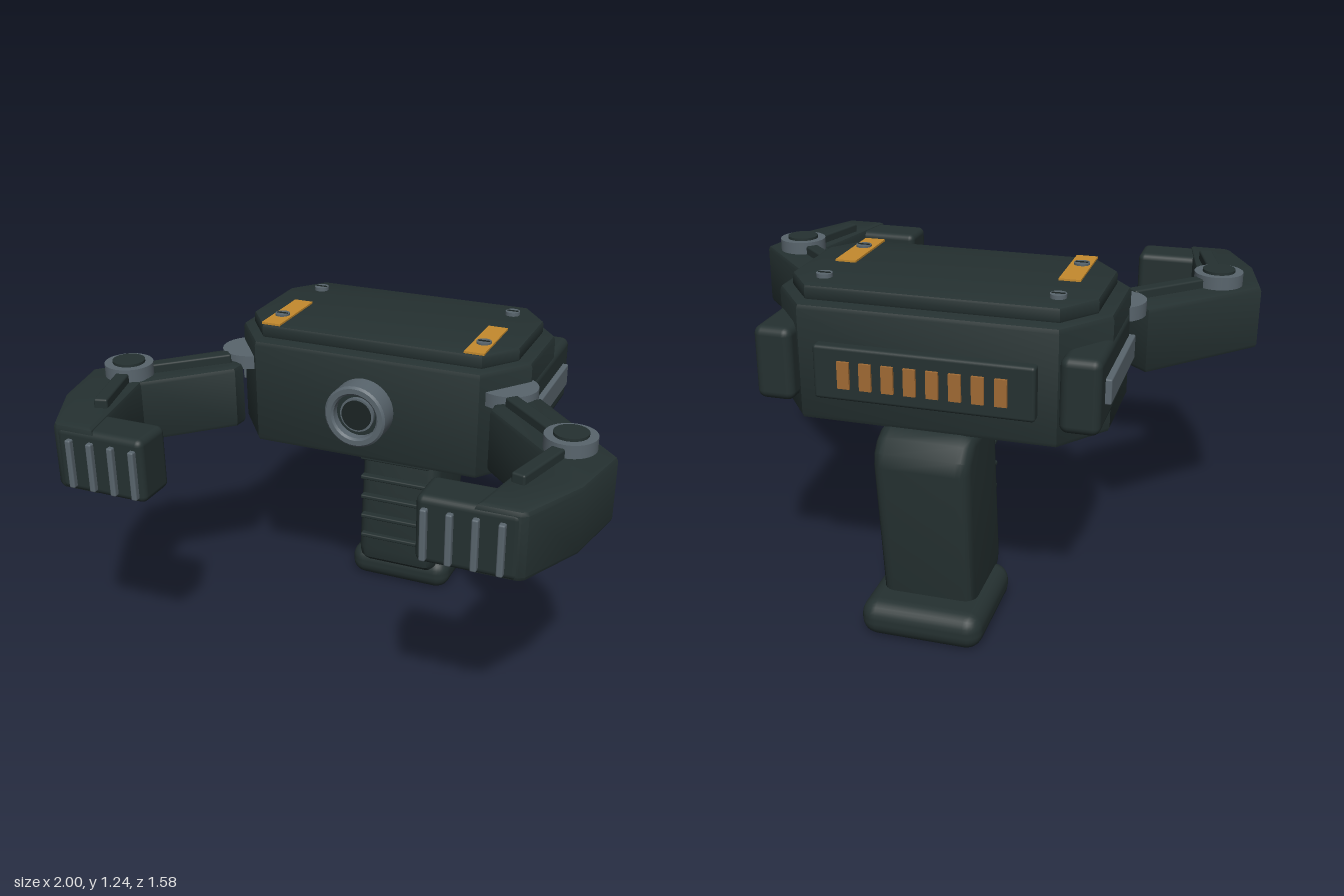
import * as THREE from 'three';
import { toCreasedNormals } from 'three/addons/utils/BufferGeometryUtils.js';
import { RoundedBoxGeometry } from 'three/addons/geometries/RoundedBoxGeometry.js';

const mat = (name, color) => {
  const m = new THREE.MeshStandardMaterial({ color });
  m.name = name;
  return m;
};

export function createModel() {
  const shell = mat('dark shell', 0x253131);
  const core = mat('black core', 0x1b2424);
  const steel = mat('steel', 0x59656d);
  const amber = mat('amber', 0xc48a2e);
  const copper = mat('copper', 0xa06a34);

  const model = new THREE.Group();
  model.name = 'grabber';

  const add = (name, geo, material, x = 0, y = 0, z = 0, parent = model) => {
    const mesh = new THREE.Mesh(geo, material);
    mesh.name = name;
    mesh.position.set(x, y, z);
    parent.add(mesh);
    return mesh;
  };

  // Bevelled solid from an outline, kept inside that outline
  const solid = (points, depth, bevel, segments = 2) => {
    const shape = new THREE.Shape(points.map(([a, b]) => new THREE.Vector2(a, b)));
    const geo = new THREE.ExtrudeGeometry(shape, {
      depth: depth - 2 * bevel, bevelEnabled: true, bevelThickness: bevel,
      bevelSize: bevel, bevelOffset: -bevel, bevelSegments: segments,
    });
    geo.translate(0, 0, bevel);
    return toCreasedNormals(geo, 0.6);
  };
  // Outline in x and z, extruded down from the top height
  const slab = (points, bottom, top, bevel) =>
    solid(points, top - bottom, bevel).rotateX(Math.PI / 2).translate(0, top, 0);
  // Rectangle with cut corners
  const octagon = (w, back, front, cx, cz) => [
    [-w, back + cz], [-w + cx, back], [w - cx, back], [w, back + cz],
    [w, front - cz], [w - cx, front], [-w + cx, front], [-w, front - cz],
  ];
  const box = (w, h, d, r) => new RoundedBoxGeometry(w, h, d, 3, r);
  const disc = (r, h) => new THREE.CylinderGeometry(r, r, h, 32);

  // Main housing and lid
  add('body', slab(octagon(0.585, -0.66, 0.02, 0.14, 0.18), 0.76, 1.175, 0.02), shell);
  add('lid', slab(octagon(0.535, -0.61, -0.03, 0.1, 0.13), 1.17, 1.225, 0.012), shell);

  // Round emitter on the front
  const ring = new THREE.LatheGeometry([
    [0.085, 0], [0.12, 0], [0.12, 0.102], [0.112, 0.11], [0.093, 0.11], [0.085, 0.102], [0.085, 0],
  ].map(([r, h]) => new THREE.Vector2(r, h)), 36);
  const emitter = new THREE.Group();
  emitter.name = 'emitter';
  emitter.position.set(0, 0.97, 0);
  emitter.rotation.x = Math.PI / 2;
  model.add(emitter);
  add('emitterRing', toCreasedNormals(ring, 0.5), steel, 0, 0, 0, emitter);
  add('emitterBack', disc(0.088, 0.06), shell, 0, 0.04, 0, emitter);
  add('emitterHub', disc(0.066, 0.08), steel, 0, 0.045, 0, emitter);
  add('emitterLens', disc(0.058, 0.08), core, 0, 0.05, 0, emitter);

  // Rear vent panel
  add('ventPanel', box(0.76, 0.19, 0.07, 0.012), shell, 0, 0.955, -0.663);
  for (let i = 0; i < 8; i++) {
    add('vent', new THREE.BoxGeometry(0.042, 0.095, 0.012), copper, (i - 3.5) * 0.077, 0.955, -0.702);
  }

  // Pistol grip, rounded and leaning
  const gripSide = [
    [0.44, 0.77], [0.65, 0.77], [0.70, 0.745], [0.735, 0.70], [0.743, 0.65],
    [0.67, 0.11], [0.62, 0.08], [0.37, 0.08], [0.325, 0.12], [0.315, 0.17],
    [0.38, 0.70], [0.395, 0.75],
  ];
  const grip = solid(gripSide, 0.34, 0.045, 4);
  grip.translate(0, 0, -0.17).rotateY(Math.PI / 2);
  add('grip', grip, shell);
  add('gripBase', box(0.44, 0.136, 0.44, 0.06), shell, 0, 0.07, -0.57);
  for (let i = 0; i < 6; i++) {
    add('gripRib', box(0.3, 0.018, 0.034, 0.006), shell, 0, 0.69 - i * 0.091, -0.32);
  }

  const screw = (x, z) => {
    add('screw', disc(0.028, 0.014), steel, x, 1.232, z);
    add('screwSlot', new THREE.BoxGeometry(0.044, 0.004, 0.009), core, x, 1.239, z);
  };
  // Raised bar between two points on top of an arm
  const bar = (name, [x1, z1], [x2, z2], parent) => {
    const length = Math.hypot(x2 - x1, z2 - z1);
    const m = add(name, box(0.05, 0.04, length, 0.008), shell, (x1 + x2) / 2, 1.088, (z1 + z2) / 2, parent);
    m.rotation.y = Math.atan2(x2 - x1, z2 - z1);
  };

  const armOutline = [
    [0.64, -0.1], [1.0, 0.28], [0.95, 0.53], [0.84, 0.755], [0.82, 0.768], [0.675, 0.768],
    [0.705, 0.61], [0.735, 0.46], [0.76, 0.33], [0.505, 0.075], [0.5, 0.02],
  ];

  for (const s of [1, -1]) {
    // Side pods, strips and lid fittings
    add('sidePod', box(0.135, 0.26, 0.53, 0.03), shell, s * 0.5235, 0.965, -0.44);
    add('sideStrip', box(0.03, 0.088, 0.44, 0.006), steel, s * 0.597, 0.965, -0.405);
    add('lidStripe', new THREE.BoxGeometry(0.076, 0.008, 0.292), amber, s * 0.402, 1.228, -0.181);
    screw(s * 0.405, -0.505);
    screw(s * 0.405, -0.142);

    // Claw arm
    const arm = new THREE.Group();
    arm.name = s > 0 ? 'leftArm' : 'rightArm';
    model.add(arm);
    add('shoulderDisc', disc(0.108, 0.052), steel, s * 0.522, 1.076, -0.092, arm);
    add('armShell', slab(armOutline.map(([x, z]) => [x * s, z]), 0.83, 1.075, 0.018), shell, 0, 0, 0, arm);
    bar('upperBar', [s * 0.56, 0.01], [s * 0.82, 0.26], arm);
    bar('lowerBar', [s * 0.835, 0.3], [s * 0.755, 0.595], arm);
    add('elbowRing', disc(0.09, 0.05), steel, s * 0.84, 1.097, 0.275, arm);
    add('elbowCap', disc(0.06, 0.03), shell, s * 0.84, 1.117, 0.275, arm);

    // Finger pad with gripping ridges
    add('fingerPad', box(0.34, 0.235, 0.16, 0.025), shell, s * 0.655, 0.949, 0.692, arm);
    for (let i = 0; i < 4; i++) {
      add('padRidge', box(0.022, 0.18, 0.035, 0.006), steel, s * (0.518 + i * 0.083), 0.94, 0.774, arm);
    }
  }
  return model;
}
